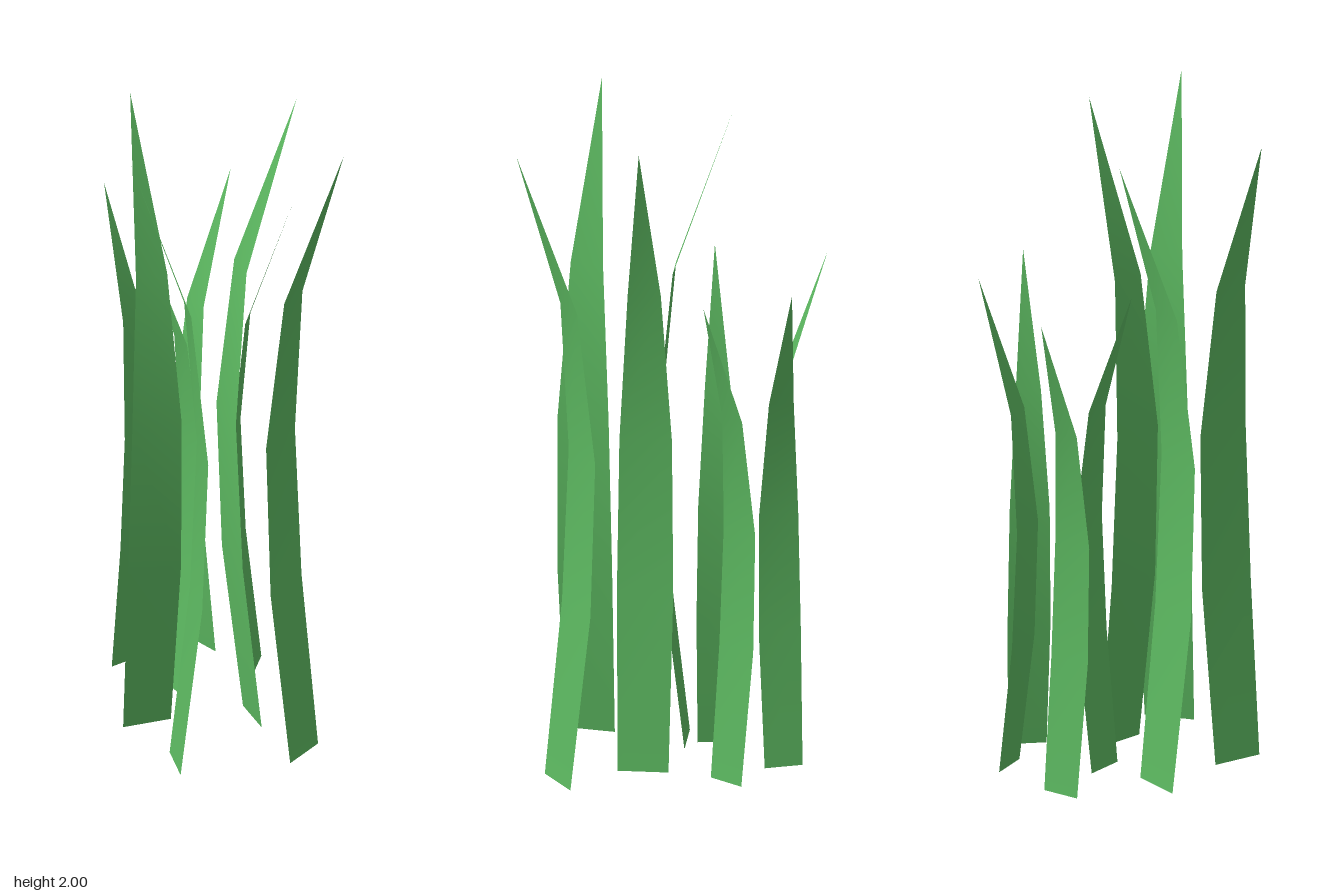
import * as THREE from 'three';

// Blade profile from root to tip: [height, outward offset, width]
const PROFILE = [
  [0, 0, 0.147],
  [0.53, -0.062, 0.163],
  [1.0, -0.081, 0.152],
  [1.47, -0.037, 0.096],
  [1.98, 0.137, 0],
];

// One thin blade, its outer side facing +z
function bladeGeometry() {
  const positions = [];
  const index = [];
  PROFILE.forEach(([y, out, width], i) => {
    if (width === 0) {
      positions.push(0, y, out);
      const a = (i - 1) * 2;
      index.push(a, a + 1, a + 2);
      return;
    }
    positions.push(-width / 2, y, out, width / 2, y, out);
    if (i > 0) {
      const a = (i - 1) * 2;
      index.push(a, a + 1, a + 3, a, a + 3, a + 2);
    }
  });
  const geometry = new THREE.BufferGeometry();
  geometry.setAttribute('position', new THREE.Float32BufferAttribute(positions, 3));
  geometry.setIndex(index);
  geometry.computeVertexNormals();
  return geometry;
}

// Root centre x, y, z, then the direction (x, z) the tip leans, then scale
const TALL = 1;
const SHORT = 0.763;
const BLADES = [
  [0.34, 0, -0.037, 0.99, -0.14, TALL],
  [0.096, 0.015, -0.09, 0.46, -0.89, TALL],
  [-0.125, 0, 0.118, -0.88, -0.47, TALL],
  [0.115, 0.01, 0.27, -0.594, 0.804, TALL],
  [-0.262, 0.05, -0.284, 0.15, -0.99, SHORT],
  [-0.074, 0.04, -0.307, 0.87, -0.49, SHORT],
  [-0.372, 0.04, -0.077, -0.98, -0.17, SHORT],
  [-0.158, 0.045, -0.03, -0.32, 0.95, SHORT],
];

export function createModel() {
  const group = new THREE.Group();
  group.name = 'grassTuft';
  const geometry = bladeGeometry();
  const material = new THREE.MeshStandardMaterial({ color: 0x5cb860, side: THREE.DoubleSide });
  BLADES.forEach(([x, y, z, dx, dz, scale], i) => {
    const blade = new THREE.Mesh(geometry, material);
    blade.name = (scale === TALL ? 'tallBlade' : 'shortBlade') + (i % 4 + 1);
    blade.position.set(x, y, z);
    blade.rotation.y = Math.atan2(dx, dz);
    blade.scale.setScalar(scale);
    group.add(blade);
  });
  return group;
}
